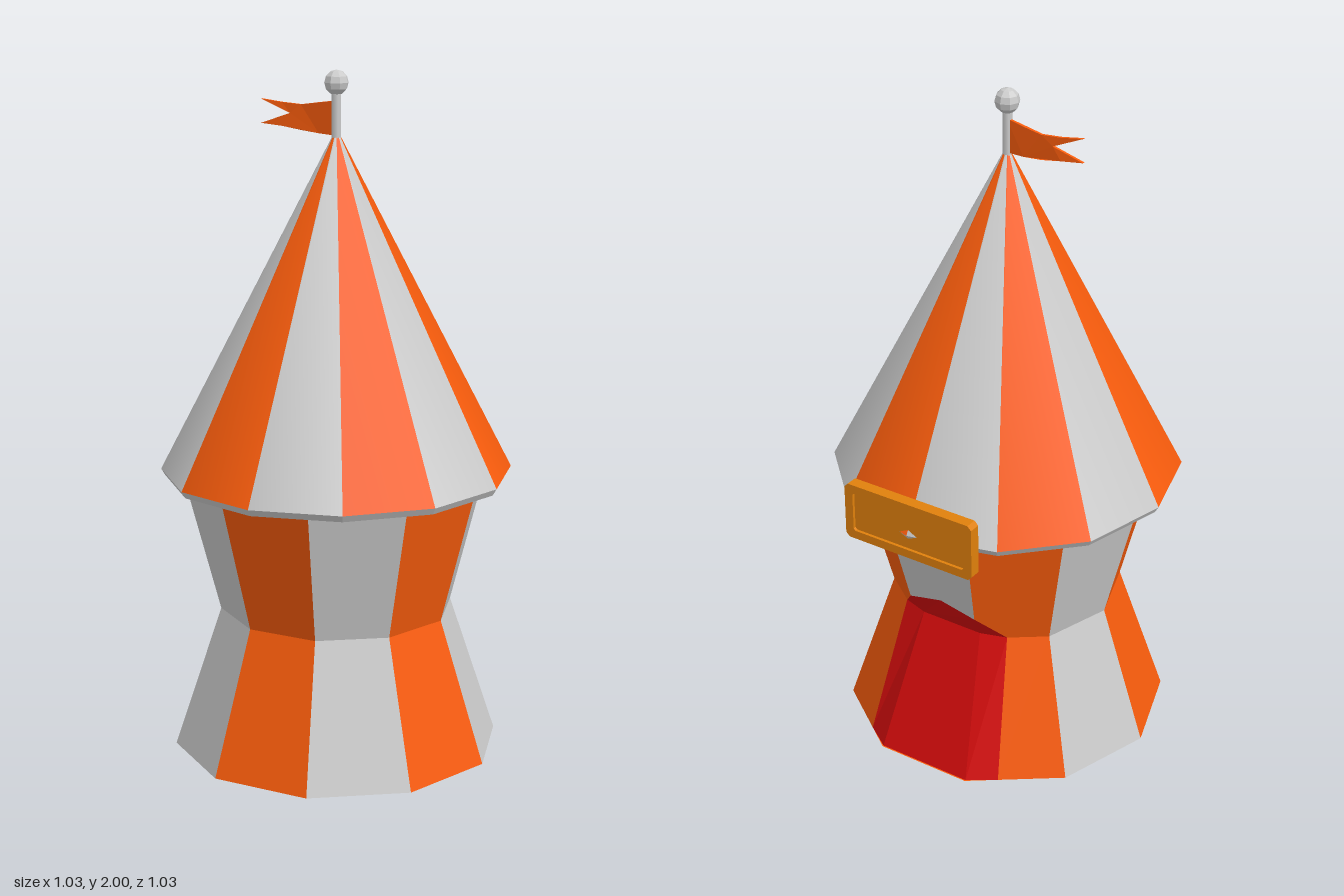
import * as THREE from 'three';

const mat = (color, extra = {}) => new THREE.MeshStandardMaterial({ color, ...extra });
const grey = mat(0xcccccc, { side: THREE.DoubleSide });
const orange = mat(0xf95c0c, { side: THREE.DoubleSide });
const red = mat(0xd40c0c, { side: THREE.DoubleSide });
const signMat = mat(0xe0800c);
const STEP = Math.PI / 5; // ten wall panels

// Point on the wall: angle from +z towards +x
const at = (r, y, a) => new THREE.Vector3(r * Math.sin(a), y, r * Math.cos(a));

// Flat convex polygons, each given counter-clockwise from outside
function polygons(list) {
  const pos = [];
  for (const p of list)
    for (let i = 1; i < p.length - 1; i++)
      for (const v of [p[0], p[i], p[i + 1]]) pos.push(v.x, v.y, v.z);
  const g = new THREE.BufferGeometry();
  g.setAttribute('position', new THREE.Float32BufferAttribute(pos, 3));
  g.computeVertexNormals();
  return g;
}

export function createModel() {
  const model = new THREE.Group();
  const add = (name, geo, material, parent = model) => {
    const m = new THREE.Mesh(geo, material);
    m.name = name;
    parent.add(m);
    return m;
  };

  // Striped pinched wall: rings as [radius, height]
  const rings = [[0.485, 0], [0.345, 0.42], [0.45, 0.825]];
  const corner = (ring, k) => at(rings[ring][0], rings[ring][1], (k - 0.5) * STEP);
  const walls = new THREE.Group();
  walls.name = 'walls';
  model.add(walls);

  // Doorway edge on the neighbouring panels, mirrored across x
  const mirror = v => new THREE.Vector3(-v.x, v.y, v.z);
  const low = corner(0, 5).lerp(corner(0, 4), 0.33);
  const mid = corner(1, 5).lerp(corner(1, 4), 0.42);
  const shoulder = corner(1, 5).lerp(corner(2, 5), 0.2);
  const peak = new THREE.Vector3(0, 0.53, -0.355);

  for (let k = 0; k < 10; k++) {
    const [a, b, c] = [0, 1, 2].map(r => corner(r, k));
    const [d, e, f] = [0, 1, 2].map(r => corner(r, k + 1));
    let faces = [[a, d, e, b], [b, e, f, c]];
    if (k === 4) faces = [[a, low, mid, b], [b, mid, shoulder, f, c]];
    if (k === 5) faces = [[peak, mirror(shoulder), f, c, shoulder]];
    if (k === 6) faces = [[mirror(low), d, e, mirror(mid)], [e, f, c, mirror(shoulder), mirror(mid)]];
    add('wallPanel', polygons(faces), k % 2 ? grey : orange, walls);
  }

  // Slightly recessed red door curtain
  const p = (x, y, z) => new THREE.Vector3(x, y, z);
  const foot = [low, p(0.15, 0, -0.457), p(-0.15, 0, -0.457), mirror(low)];
  const waist = [mid, p(0.1, 0.42, -0.3), p(-0.1, 0.42, -0.3), mirror(mid)];
  const curtain = [0, 1, 2].map(i => [foot[i], foot[i + 1], waist[i + 1], waist[i]]);
  curtain.push([waist[0], waist[1], shoulder], [waist[2], waist[3], mirror(shoulder)],
    [waist[1], waist[2], mirror(shoulder), peak, shoulder]);
  add('doorCurtain', polygons(curtain), red);

  // Floor
  const floor = add('floor', new THREE.CircleGeometry(0.485, 10), orange);
  floor.rotation.x = Math.PI / 2;

  // Twelve-sided striped cone roof, smooth shaded
  const roof = new THREE.Group();
  roof.name = 'roof';
  model.add(roof);
  for (let k = 0; k < 12; k++) {
    const g = new THREE.CylinderGeometry(0.008, 0.515, 0.98, 1, 1, true, k * Math.PI / 6, Math.PI / 6);
    add('roofPanel', g.translate(0, 1.33, 0), k % 2 ? orange : grey, roof);
  }
  const flatGrey = mat(0xcccccc, { flatShading: true });
  add('roofRim', new THREE.CylinderGeometry(0.515, 0.503, 0.02, 12, 1, true).translate(0, 0.83, 0), flatGrey, roof);
  const under = add('roofUnderside', new THREE.RingGeometry(0.42, 0.503, 12), grey, roof);
  under.rotation.x = Math.PI / 2;
  under.position.y = 0.82;

  // Pole and ball
  add('pole', new THREE.CylinderGeometry(0.014, 0.014, 0.17, 8).translate(0, 1.865, 0), grey);
  add('poleBall', new THREE.SphereGeometry(0.036, 8, 6).translate(0, 1.964, 0), flatGrey);

  // Swallow-tailed pennant with a gentle wave
  const outline = [[0, 1.913], [-0.06, 1.905], [-0.12, 1.896], [-0.18, 1.9], [-0.245, 1.908], [-0.155, 1.87],
    [-0.245, 1.838], [-0.18, 1.832], [-0.12, 1.823], [-0.06, 1.817], [0, 1.814]];
  const flagGeo = new THREE.ExtrudeGeometry(new THREE.Shape(outline.map(q => new THREE.Vector2(...q))),
    { depth: 0.008, bevelEnabled: false });
  const fp = flagGeo.attributes.position;
  for (let i = 0; i < fp.count; i++)
    fp.setZ(i, fp.getZ(i) - 0.004 - 0.012 * Math.sin(-fp.getX(i) * Math.PI / 0.245));
  flagGeo.computeVertexNormals();
  add('flag', flagGeo, orange);

  // Blank framed sign board above the doorway
  const sign = new THREE.Group();
  sign.name = 'sign';
  model.add(sign);
  const rect = (w, h, c) => [[-w + c, -h], [w - c, -h], [w, -h + c], [w, h - c], [w - c, h], [-w + c, h],
    [-w, h - c], [-w, -h + c]].map(q => new THREE.Vector2(...q));
  const frame = new THREE.Shape(rect(0.215, 0.088, 0.012));
  frame.holes.push(new THREE.Path(rect(0.188, 0.062, 0.006)));
  add('signFrame', new THREE.ExtrudeGeometry(frame, { depth: 0.035, bevelEnabled: false }), signMat, sign);
  add('signBoard', new THREE.BoxGeometry(0.38, 0.13, 0.022).translate(0, 0, 0.02), signMat, sign);
  sign.position.set(-0.004, 0.857, -0.516);
  return model;
}
